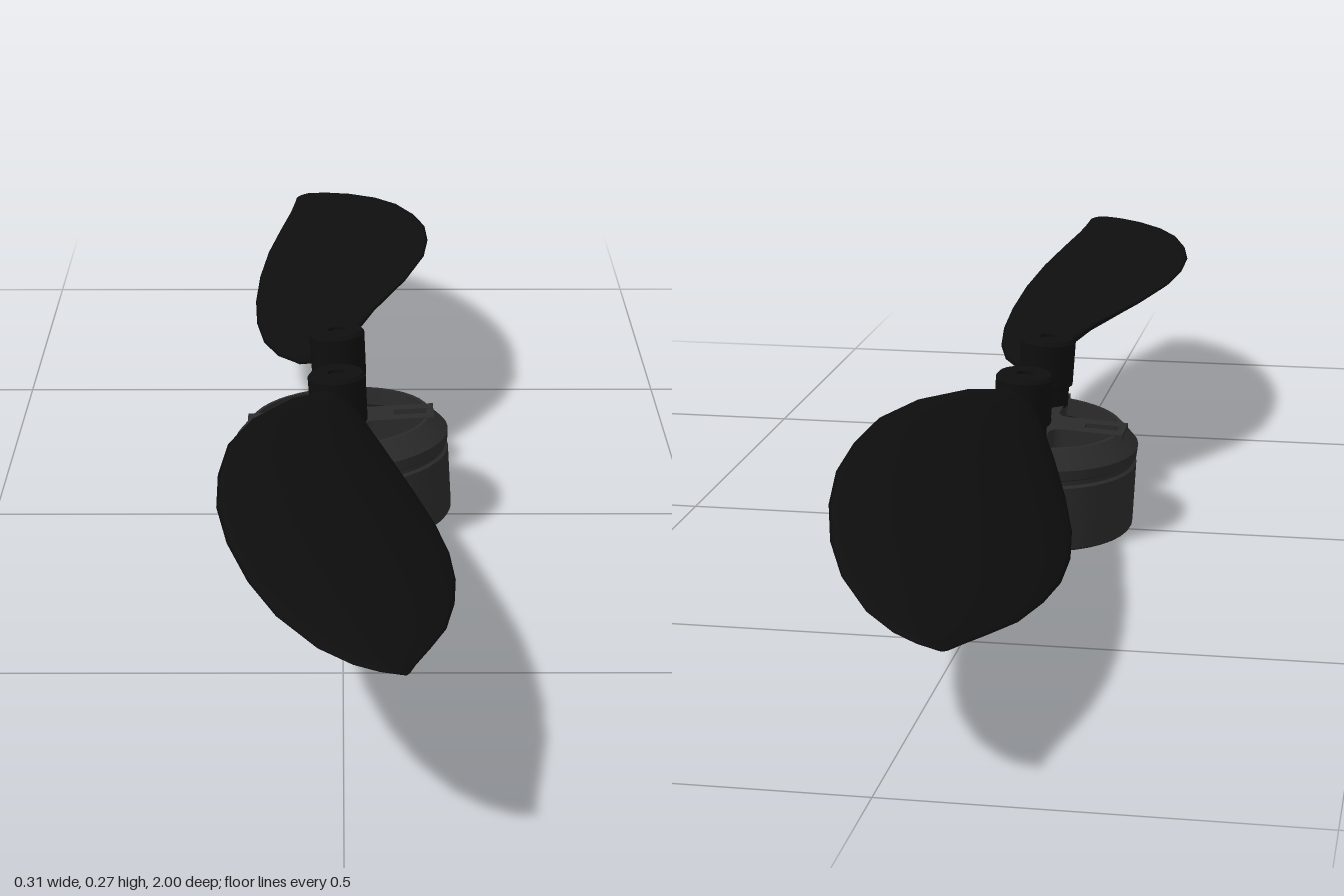
import * as THREE from 'three';

const bellMat = new THREE.MeshStandardMaterial({ color: 0x2b2b2b });
const bellFlat = new THREE.MeshStandardMaterial({ color: 0x2b2b2b });
const bladeMat = new THREE.MeshStandardMaterial({ color: 0x0e0e0e });

function mesh(name, geometry, material) {
  const m = new THREE.Mesh(geometry, material);
  m.name = name;
  return m;
}

// Lathe with hard edges: every profile segment is its own band
function lathe(name, points, material) {
  const group = new THREE.Group();
  group.name = name;
  for (let i = 0; i < points.length - 1; i++) {
    const pair = [points[i], points[i + 1]].map(([r, y]) => new THREE.Vector2(r, y));
    group.add(mesh(name + 'Band', new THREE.LatheGeometry(pair, 40), material));
  }
  return group;
}

// Cross-shaped top plate with a shaft hole and two slots
function crossPlate() {
  const w = 0.03, r = 0.132, f = 0.05;
  const s = new THREE.Shape();
  s.moveTo(r, -w);
  s.lineTo(r, w);
  s.lineTo(f, w);
  s.quadraticCurveTo(w, w, w, f);
  s.lineTo(w, r);
  s.lineTo(-w, r);
  s.lineTo(-w, f);
  s.quadraticCurveTo(-w, w, -f, w);
  s.lineTo(-r, w);
  s.lineTo(-r, -w);
  s.lineTo(-f, -w);
  s.quadraticCurveTo(-w, -w, -w, -f);
  s.lineTo(-w, -r);
  s.lineTo(w, -r);
  s.lineTo(w, -f);
  s.quadraticCurveTo(w, -w, f, -w);
  s.closePath();
  s.holes.push(new THREE.Path().absarc(0, 0, 0.015, 0, Math.PI * 2, true));
  for (const side of [-1, 1]) {
    const x = side * 0.1, h = 0.01;
    s.holes.push(new THREE.Path([[-0.025, -h], [-0.025, h], [0.025, h], [0.025, -h]]
      .map(([dx, y]) => new THREE.Vector2(x + dx, y))));
  }
  const g = new THREE.ExtrudeGeometry(s, { depth: 0.026, bevelEnabled: false, curveSegments: 10 });
  return g.rotateX(-Math.PI / 2).translate(0, 0.118, 0);
}

// Blade sections: z, left x, right x, centre height, pitch in degrees, thickness
const sections = [
  [0.08, -0.018, 0.018, 0.205, 36, 0.03],
  [0.13, -0.022, 0.03, 0.203, 36, 0.028],
  [0.20, -0.06, 0.062, 0.200, 34, 0.024],
  [0.30, -0.108, 0.095, 0.196, 29, 0.022],
  [0.40, -0.136, 0.12, 0.193, 26, 0.02],
  [0.50, -0.145, 0.134, 0.192, 23.5, 0.018],
  [0.60, -0.143, 0.138, 0.193, 21.5, 0.016],
  [0.70, -0.127, 0.133, 0.196, 19.5, 0.014],
  [0.80, -0.1, 0.12, 0.199, 18, 0.012],
  [0.88, -0.067, 0.101, 0.202, 16, 0.01],
  [0.95, -0.022, 0.083, 0.204, 14, 0.008],
  [0.985, 0.015, 0.076, 0.205, 13, 0.006],
  [1.0, 0.042, 0.073, 0.206, 12, 0.004],
];

function bladeGeometry() {
  const n = 24, pos = [], idx = [];
  for (const [z, xl, xr, yc, pitch, thick] of sections) {
    const mid = (xl + xr) / 2, half = (xr - xl) / 2;
    const slope = Math.tan(THREE.MathUtils.degToRad(pitch));
    for (let j = 0; j < n; j++) {
      const a = (j / n) * Math.PI * 2, u = Math.cos(a);
      const camber = 0.08 * half * (1 - u * u);
      pos.push(mid + u * half, yc - u * half * slope + camber + Math.sin(a) * thick / 2, z);
    }
  }
  const last = (sections.length - 1) * n;
  for (let i = 0; i < last; i += n) {
    for (let j = 0; j < n; j++) {
      const k = (j + 1) % n;
      idx.push(i + j, i + k, i + n + j, i + k, i + n + k, i + n + j);
    }
  }
  // End caps
  for (let j = 1; j < n - 1; j++) idx.push(0, j + 1, j, last, last + j, last + j + 1);
  const g = new THREE.BufferGeometry();
  g.setAttribute('position', new THREE.Float32BufferAttribute(pos, 3));
  g.setIndex(idx);
  g.computeVertexNormals();
  return g;
}

export function createModel() {
  const model = new THREE.Group();
  model.name = 'propeller';

  // Open motor bell with a groove and a chamfered upper rim
  model.add(lathe('motorBell', [
    [0.132, 0], [0.148, 0], [0.15, 0.003], [0.15, 0.092], [0.146, 0.095], [0.146, 0.101],
    [0.15, 0.104], [0.151, 0.118], [0.127, 0.143], [0.122, 0.143], [0.122, 0.118],
    [0.132, 0.105], [0.132, 0],
  ], bellMat));
  model.add(mesh('crossPlate', crossPlate(), bellFlat));

  // Raised collar around the shaft hole
  const collar = lathe('shaftCollar', [
    [0.015, 0.144], [0.026, 0.144], [0.026, 0.149], [0.015, 0.149], [0.015, 0.144],
  ], bellMat);
  model.add(collar);

  const blade = bladeGeometry();
  for (const turn of [0, Math.PI]) {
    const arm = new THREE.Group();
    arm.name = 'bladeArm';
    arm.rotation.y = turn;

    // Foot closing the end of the plate arm at the rim
    const foot = mesh('postFoot', new THREE.BoxGeometry(0.062, 0.026, 0.03), bellFlat);
    foot.position.set(0, 0.131, 0.128);

    // Pivot post and the blade root knuckle around it
    const post = lathe('pivotPost', [
      [0, 0.14], [0.034, 0.14], [0.034, 0.168], [0.039, 0.172], [0.04, 0.236],
      [0.036, 0.241], [0.012, 0.241], [0.012, 0.237], [0, 0.237],
    ], bladeMat);
    post.position.z = 0.097;

    arm.add(foot, post, mesh('blade', blade, bladeMat));
    model.add(arm);
  }

  // Resting tilt
  model.rotation.set(-0.037, 0, 0.06);
  model.position.set(0.006, 0.0105, 0.008);

  const root = new THREE.Group();
  root.name = 'foldingPropeller';
  root.add(model);
  return root;
}
